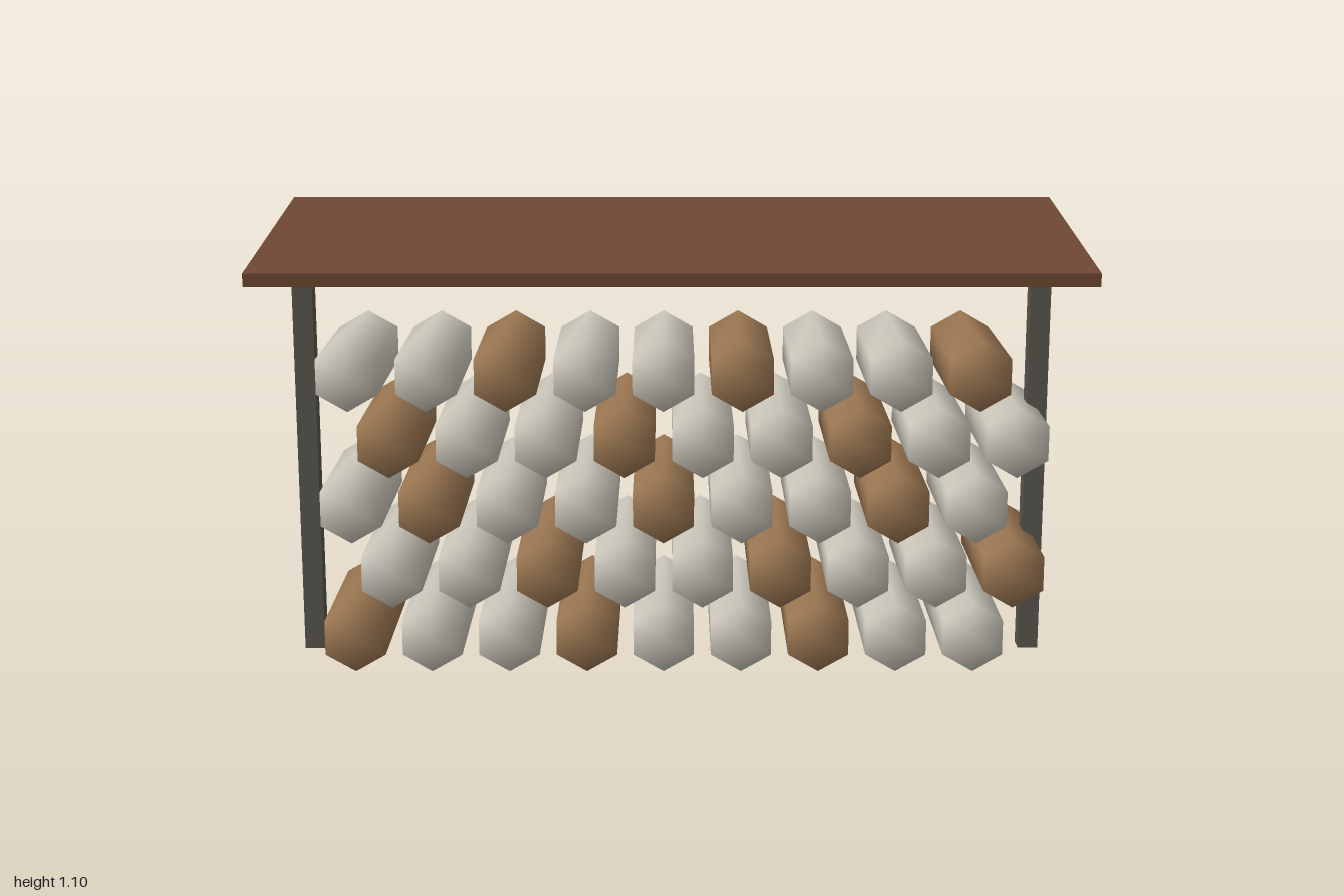
import * as THREE from 'three';
import { mergeVertices } from 'three/addons/utils/BufferGeometryUtils.js';

function mat(name, color) {
  const m = new THREE.MeshStandardMaterial({ color });
  m.name = name;
  return m;
}

export function createModel() {
  const roofBrown = mat('roof brown', 0x6e4731);
  const postGrey = mat('post grey', 0x55524a);
  const barkPale = mat('pale birch', 0xc9c5b9);
  const barkBrown = mat('brown bark', 0x9a7651);

  const group = new THREE.Group();
  const add = (name, geometry, material, x, y, z) => {
    const mesh = new THREE.Mesh(geometry, material);
    mesh.name = name;
    mesh.position.set(x, y, z);
    group.add(mesh);
    return mesh;
  };
  const midZ = 0.044;

  // Six-sided log lying along z, with soft shading across sides and ends
  let log = new THREE.CylinderGeometry(0.086, 0.086, 0.432, 6);
  log.rotateX(Math.PI / 2);
  log.deleteAttribute('normal');
  log.deleteAttribute('uv');
  log = mergeVertices(log, 1e-4);
  log.computeVertexNormals();

  // Stacked rows, every other one shifted by half a step
  for (let row = 0; row < 5; row++) {
    for (let i = 0; i < 9; i++) {
      const brown = (i + row) % 3 === 0;
      const x = -0.785 + i * 0.1912 + (row % 2) * 0.0956;
      add(brown ? 'brownLog' : 'paleLog', log, brown ? barkBrown : barkPale, x, 0.09 + row * 0.165, midZ);
    }
  }

  // Posts
  const post = new THREE.BoxGeometry(0.05, 1.03, 0.052);
  add('leftPost', post, postGrey, 0.913, 0.515, midZ);
  add('rightPost', post, postGrey, -0.915, 0.515, midZ);

  // Sloping roof, lower at the front
  const roof = add('roof', new THREE.BoxGeometry(2, 0.032, 0.777), roofBrown, 0, 1.0465, 0);
  roof.rotation.x = 0.1;

  return group;
}
